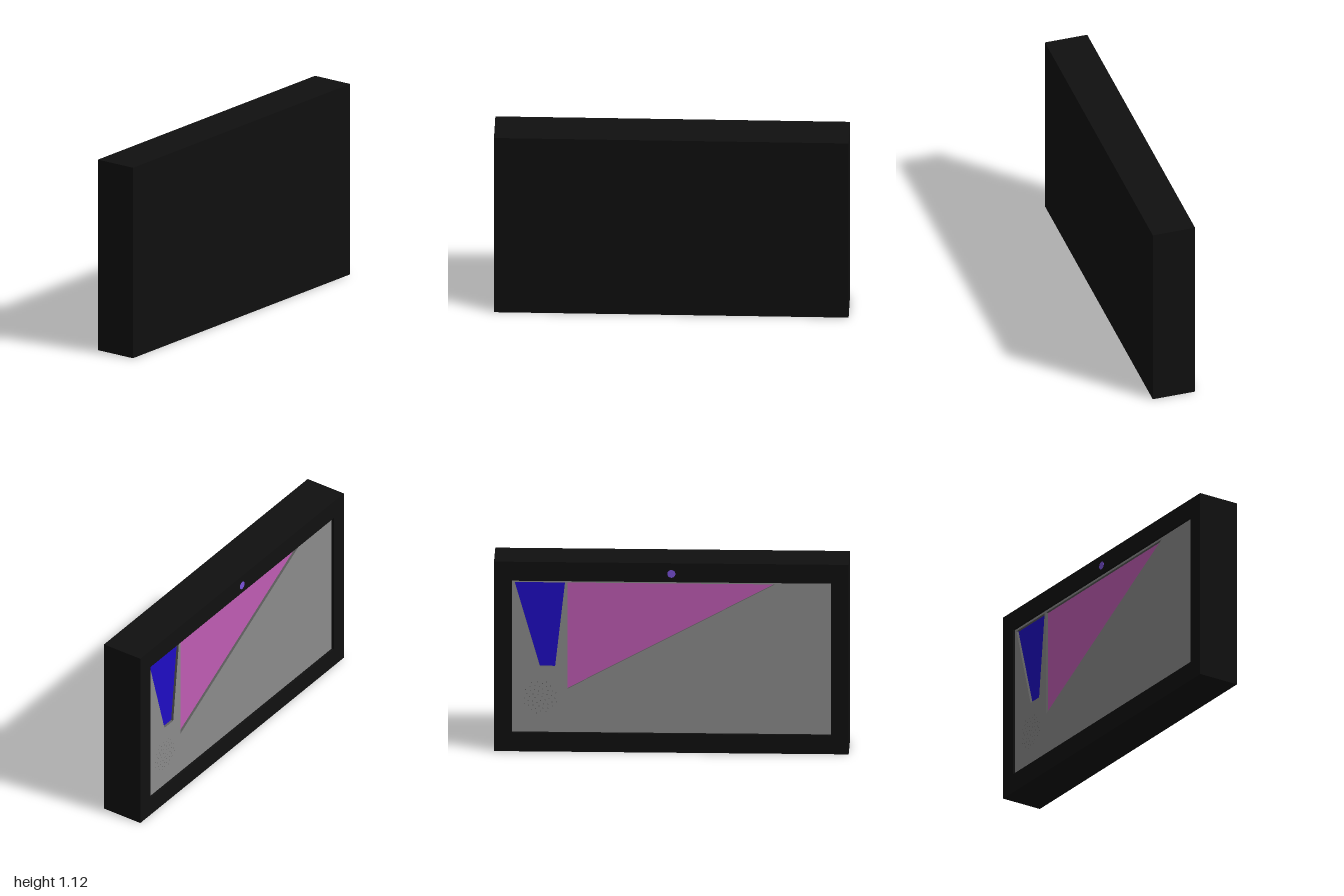
import * as THREE from 'three';

const W = 2, H = 1.125, BACK = 0.125; // overall width, height, half depth
const RIM = 0.015, CUT = 0.015;       // screen recess and inlay recess
const FLOOR = BACK - RIM - CUT;

const mat = (color) => new THREE.MeshStandardMaterial({ color });

function add(parent, name, geometry, material, x = 0, y = 0, z = 0) {
  const mesh = new THREE.Mesh(geometry, material);
  mesh.name = name;
  mesh.position.set(x, y, z);
  parent.add(mesh);
  return mesh;
}

const polygon = (pts) => new THREE.Shape(pts.map(([x, y]) => new THREE.Vector2(x, y)));

const rect = (x, y0, y1) => polygon([[-x, y0], [x, y0], [x, y1], [-x, y1]]);

const slab = (shape, depth) => new THREE.ExtrudeGeometry(shape, { depth, bevelEnabled: false });

export function createModel() {
  const model = new THREE.Group();
  model.name = 'tabletDisplay';

  const black = mat(0x101010);
  const grey = mat(0x8c8c8c);
  const wall = mat(0x606060);

  // Solid casing behind the screen
  const caseDepth = BACK + FLOOR;
  add(model, 'casing', new THREE.BoxGeometry(W, H, caseDepth), black, 0, H / 2, BACK - caseDepth / 2);

  // Everything on the screen side is laid out facing +z, then turned to the back
  const display = new THREE.Group();
  display.name = 'display';
  display.rotation.y = Math.PI;
  model.add(display);

  // Raised border around the screen
  const border = rect(W / 2, 0, H);
  border.holes.push(rect(0.9, 0.1125, 1.0125));
  add(display, 'bezel', slab(border, RIM + CUT), black, 0, 0, FLOOR);

  // Coloured inlays sunk into the screen
  const inlays = [
    { name: 'pinkTriangleInlay', color: 0xc05cb4, pts: [[-0.585, 1.0], [-0.585, 0.37], [0.585, 1.0]] },
    { name: 'blueTaperedInlay', color: 0x1f0cc4, pts: [[-0.885, 1.0], [-0.742, 0.5], [-0.656, 0.5], [-0.6, 1.0]] },
  ];
  const screen = rect(0.9, 0.1125, 1.0125);
  for (const { name, color, pts } of inlays) {
    screen.holes.push(polygon(pts));
    add(display, name, new THREE.ShapeGeometry(polygon(pts)), mat(color), 0, 0, FLOOR + 0.001);
  }
  add(display, 'screen', slab(screen, CUT), [grey, wall], 0, 0, FLOOR);

  // Speaker: a round cluster of tiny pits
  const speaker = new THREE.Group();
  speaker.name = 'speaker';
  speaker.position.set(-0.74, 0.32, BACK - RIM + 0.001);
  display.add(speaker);
  const pit = new THREE.CircleGeometry(0.003, 8);
  const count = 50;
  for (let i = 0; i < count; i++) {
    const r = 0.1 * Math.sqrt((i + 0.5) / count), a = i * 2.39996;
    add(speaker, 'speakerPit', pit, wall, r * Math.cos(a), r * Math.sin(a));
  }

  // Lens in the top border
  const lens = new THREE.CylinderGeometry(0.023, 0.023, 0.004, 32).rotateX(Math.PI / 2);
  add(display, 'cameraLens', lens, mat(0x7a50d8), 0, 1.062, BACK - 0.001);

  return model;
}
